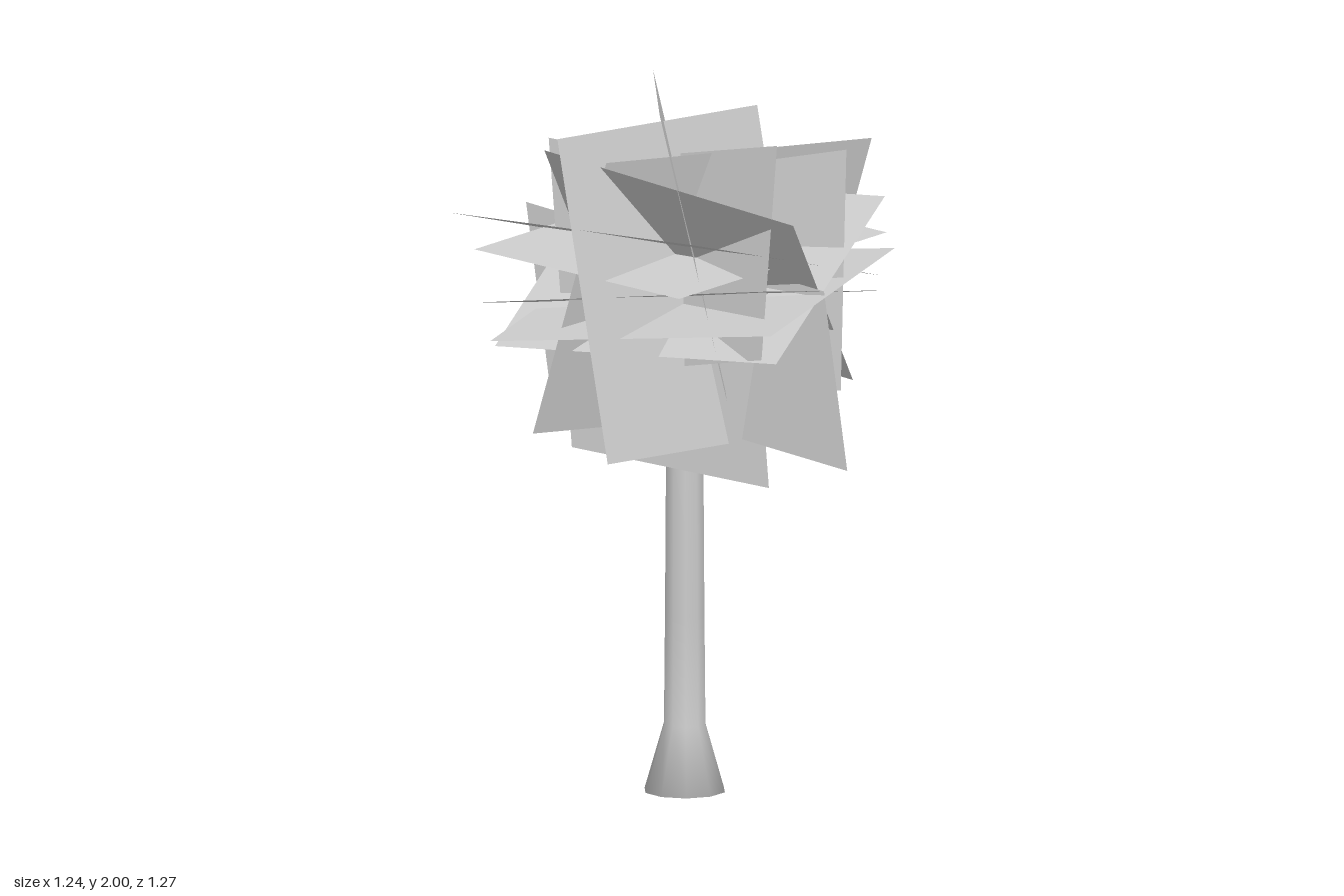
import * as THREE from 'three';

const leafMaterial = new THREE.MeshStandardMaterial({ color: 0xcccccc, side: THREE.DoubleSide });
leafMaterial.name = 'pale grey';

// Flat four-cornered card from a corner and its two neighbours.
function card(name, corner, next, down) {
  const a = new THREE.Vector3(...corner);
  const b = new THREE.Vector3(...next);
  const d = new THREE.Vector3(...down);
  const c = b.clone().add(d).sub(a);
  const geometry = new THREE.BufferGeometry().setFromPoints([a, d, c, b]);
  geometry.setIndex([0, 1, 2, 0, 2, 3]);
  geometry.computeVertexNormals();
  const mesh = new THREE.Mesh(geometry, leafMaterial);
  mesh.name = name;
  return mesh;
}

export function createModel() {
  const tree = new THREE.Group();
  tree.name = 'tree';

  // Trunk with a flared foot and a narrow tip
  const profile = [[0, 0], [0.116, 0], [0.06, 0.19], [0.057, 0.5],
    [0.054, 0.95], [0.04, 1.3], [0.018, 1.54], [0, 1.56]];
  const trunk = new THREE.Mesh(
    new THREE.LatheGeometry(profile.map(([r, y]) => new THREE.Vector2(r, y)), 10), leafMaterial);
  trunk.name = 'trunk';
  trunk.position.x = 0.035;
  tree.add(trunk);

  const crown = new THREE.Group();
  crown.name = 'crown';

  // Steep leaf cards at different headings
  const upright = [
    [[-0.33, 1.91, 0.28], [0.25, 1.87, -0.35], [-0.2, 1.04, 0.54]],
    [[-0.05, 2, 0.4], [-0.04, 1.975, -0.34], [0.14, 1.17, 0.33]],
    [[-0.19, 1.82, 0.18], [0.56, 1.82, -0.13], [-0.39, 1.03, 0.07]],
    [[0.26, 0.905, 0.235], [-0.275, 0.955, -0.1], [0.2, 1.76, 0.12]],
    [[0.28, 1.89, 0.3], [-0.28, 1.68, -0.5], [0.23, 1.32, 0.48]],
    [[0.48, 1.84, 0.12], [-0.08, 1.69, -0.245], [0.46, 1.18, 0.23]],
    [[0.47, 0.995, 0.44], [-0.33, 1.1, -0.3], [0.41, 1.48, 0.32]],
  ];
  upright.forEach((corners) => crown.add(card('uprightLeafCard', ...corners)));

  // Spreading leaf cards; most cross at the front left of the crown
  const spreading = [
    [[-0.62, 1.645, 0], [0.03, 1.68, 0.63], [-0.07, 1.42, -0.64]],
    [[0.25, 1.42, 0.635], [-0.51, 1.3, 0.1], [0.62, 1.53, -0.02]],
    [[-0.36, 1.845, 0.12], [0.32, 1.69, 0.43], [-0.18, 1.33, -0.24]],
    [[0.59, 1.69, 0.04], [0.27, 1.31, 0.49], [-0.17, 1.63, -0.52]],
    [[0.24, 1.54, 0.6], [0.58, 1.42, 0.03], [-0.55, 1.41, 0.1]],
    [[-0.55, 1.54, 0], [0, 1.5, 0.5], [0.05, 1.6, -0.59]],
  ];
  spreading.forEach((corners) => crown.add(card('spreadingLeafCard', ...corners)));

  tree.add(crown);
  return tree;
}
